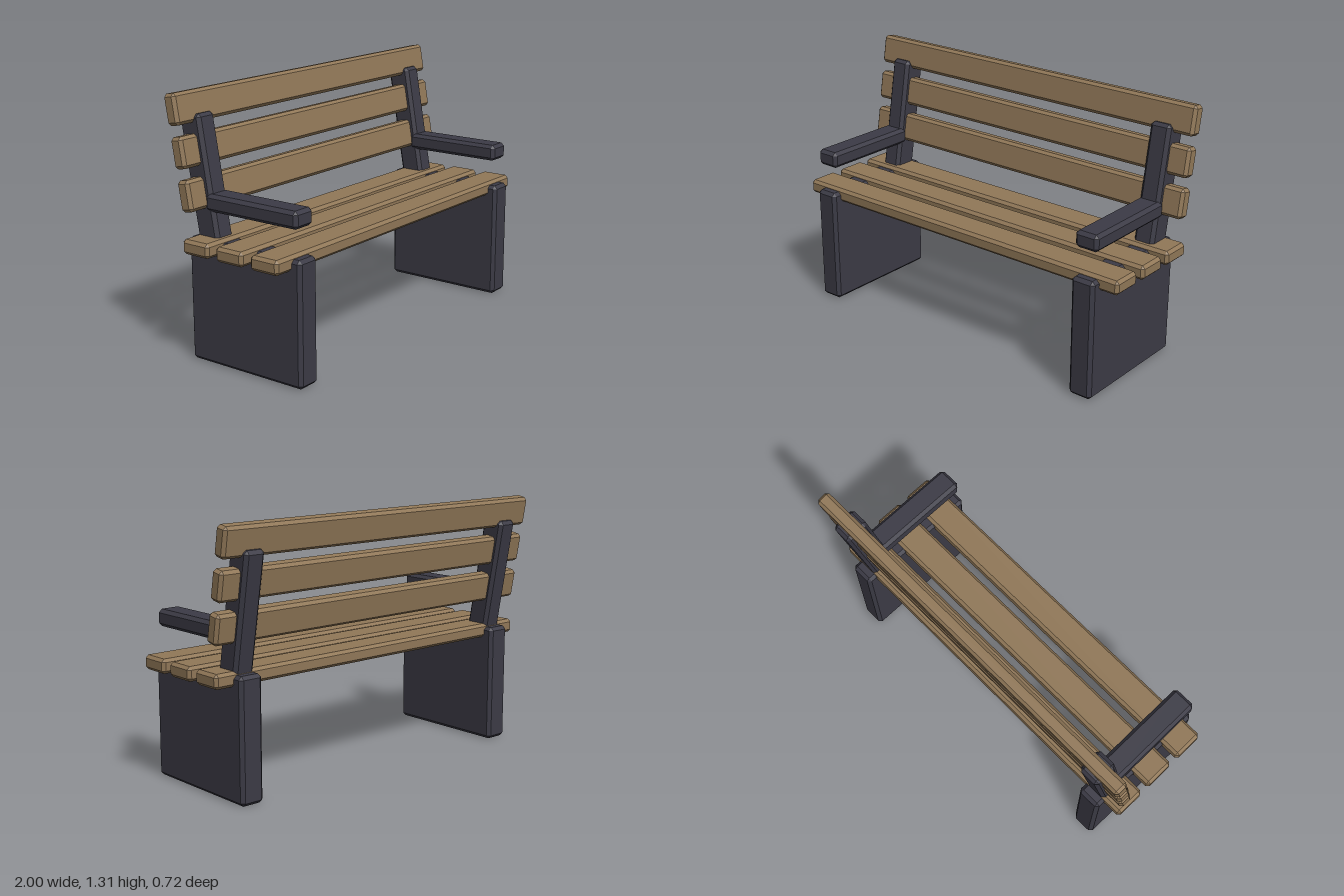
import * as THREE from 'three';
import { ConvexGeometry } from 'three/addons/geometries/ConvexGeometry.js';

// Box with every edge cut by a single flat chamfer
function chamferBox(w, h, d, c) {
  const points = [];
  for (const x of [-w / 2, w / 2])
    for (const y of [-h / 2, h / 2])
      for (const z of [-d / 2, d / 2]) {
        const ix = x - Math.sign(x) * c, iy = y - Math.sign(y) * c, iz = z - Math.sign(z) * c;
        points.push(
          new THREE.Vector3(x, iy, iz),
          new THREE.Vector3(ix, y, iz),
          new THREE.Vector3(ix, iy, z));
      }
  return new ConvexGeometry(points);
}

export function createModel() {
  const wood = new THREE.MeshStandardMaterial({ color: 0x917858, flatShading: true });
  wood.name = 'wood';
  const iron = new THREE.MeshStandardMaterial({ color: 0x3c3b46, flatShading: true });
  iron.name = 'darkIron';

  const bench = new THREE.Group();
  bench.name = 'bench';
  const lean = -THREE.MathUtils.degToRad(10);

  function add(name, geometry, material, x, y, z, tilt = 0) {
    const mesh = new THREE.Mesh(geometry, material);
    mesh.name = name;
    mesh.position.set(x, y, z);
    mesh.rotation.x = tilt;
    bench.add(mesh);
  }

  // Seat slats
  const seatSlat = chamferBox(2, 0.072, 0.163, 0.015);
  [0.233, 0.024, -0.183].forEach((z, i) => add(`seatSlat${i + 1}`, seatSlat, wood, 0, 0.596, z));

  // Leaning back slats, running through the uprights
  const backSlat = chamferBox(2, 0.149, 0.073, 0.015);
  [[0.837, -0.24], [1.036, -0.273], [1.234, -0.308]].forEach(([y, z], i) =>
    add(`backSlat${i + 1}`, backSlat, wood, 0, y, z, lean));

  // Side panels, uprights and armrests, mirrored
  const legPanel = chamferBox(0.127, 0.615, 0.68, 0.017);
  const upright = chamferBox(0.112, 0.65, 0.13, 0.017);
  const armrest = chamferBox(0.127, 0.085, 0.55, 0.017);
  for (const [side, s] of [['left', 1], ['right', -1]]) {
    const x = 0.837 * s;
    add(`${side}LegPanel`, legPanel, iron, x, 0.3075, 0.023);
    add(`${side}Upright`, upright, iron, x, 0.877, -0.244, lean);
    add(`${side}Armrest`, armrest, iron, x, 0.796, 0.068);
  }
  return bench;
}
